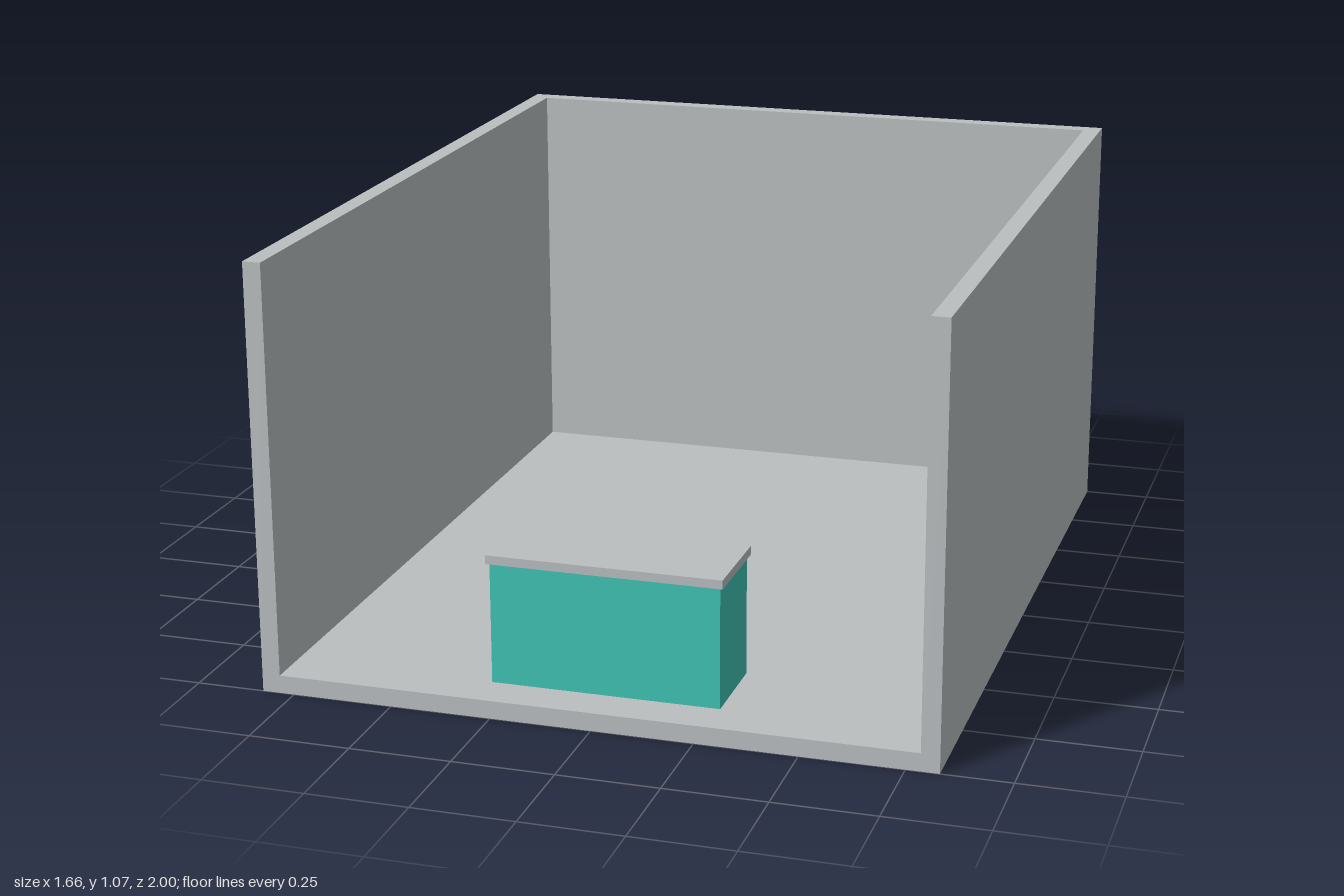
import * as THREE from 'three';

export function createModel() {
  const group = new THREE.Group();
  const grey = new THREE.MeshStandardMaterial({ color: 0xbabec0 });
  grey.name = 'pale grey';
  const teal = new THREE.MeshStandardMaterial({ color: 0x40c2b3 });
  teal.name = 'teal';

  // Box given by its lower and upper corners
  const box = (name, material, [x0, y0, z0], [x1, y1, z1]) => {
    const mesh = new THREE.Mesh(new THREE.BoxGeometry(x1 - x0, y1 - y0, z1 - z0), material);
    mesh.position.set((x0 + x1) / 2, (y0 + y1) / 2, (z0 + z1) / 2);
    mesh.name = name;
    group.add(mesh);
  };

  const W = 0.83, T = 0.045, H = 1.067;
  const inner = W - T;

  // Open-fronted room: two side walls with floor and back wall between them
  box('leftWall', grey, [inner, 0, -1], [W, H, 1]);
  box('rightWall', grey, [-W, 0, -1], [-inner, H, 1]);
  box('floor', grey, [-inner, 0, -1], [inner, T, 1]);
  box('backWall', grey, [-inner, T, -1], [inner, H, -1 + T]);

  // Service counter with a slightly overhanging top
  box('counterBody', teal, [-0.283, T, 0.668], [0.283, 0.347, 0.892]);
  box('counterTop', grey, [-0.291, 0.347, 0.66], [0.291, 0.369, 0.9]);

  return group;
}
